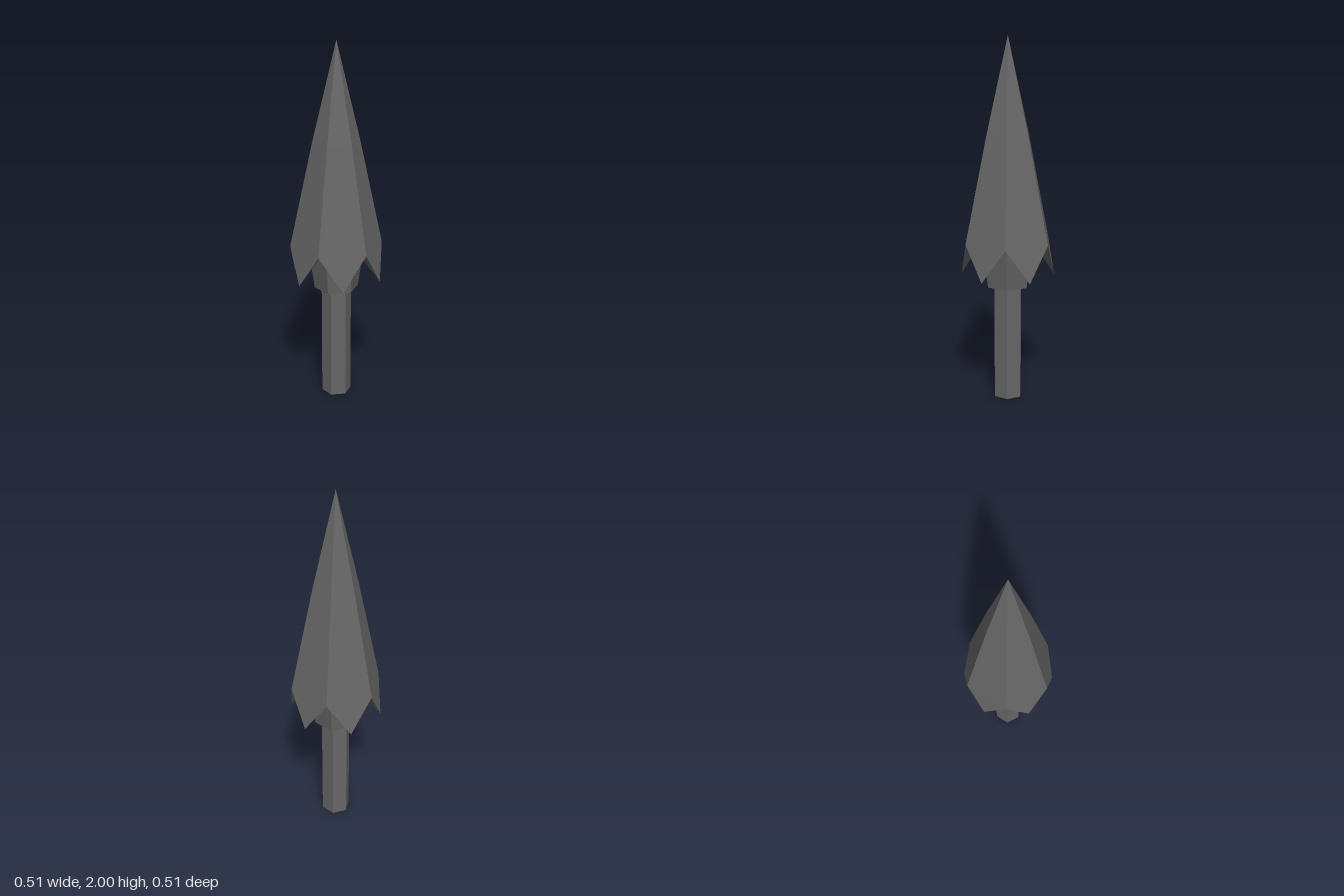
import * as THREE from 'three';

const SIDES = 6;
const material = new THREE.MeshStandardMaterial({ color: 0x666666, flatShading: true });

// Point at radius r and height y; whole steps are corners, half steps are face centres
function point(r, y, step) {
  const a = (step / SIDES) * Math.PI * 2;
  return [r * Math.sin(a), y, r * Math.cos(a)];
}

// Hexagonal prism or frustum between two heights
function hexPart(name, rTop, rBottom, y0, y1) {
  const geometry = new THREE.CylinderGeometry(rTop, rBottom, y1 - y0, SIDES);
  geometry.translate(0, (y0 + y1) / 2, 0);
  const mesh = new THREE.Mesh(geometry, material);
  mesh.name = name;
  return mesh;
}

// Six-sided point whose panels run down into pointed barbs
function createHead() {
  const positions = [];
  const tri = (...corners) => corners.forEach((c) => positions.push(...c));
  const apex = [0, 2, 0];
  for (let i = 0; i < SIDES; i++) {
    const j = i + 1;
    const mid0 = point(0.13, 1.47, i), mid1 = point(0.13, 1.47, j);
    const rim0 = point(0.255, 0.9, i), rim1 = point(0.255, 0.9, j);
    const in0 = point(0.16, 0.91, i), in1 = point(0.16, 0.91, j);
    const barb = point(0.256, 0.712, i + 0.5);
    // Outer panel
    tri(mid0, mid1, apex);
    tri(rim0, rim1, mid1);
    tri(rim0, mid1, mid0);
    tri(barb, rim1, rim0);
    // Underside of the barb, running in to the collar
    tri(in0, in1, barb);
    tri(rim0, in0, barb);
    tri(in1, rim1, barb);
  }
  const geometry = new THREE.BufferGeometry();
  geometry.setAttribute('position', new THREE.Float32BufferAttribute(positions, 3));
  geometry.computeVertexNormals();
  const mesh = new THREE.Mesh(geometry, material);
  mesh.name = 'barbedHead';
  return mesh;
}

export function createModel() {
  const model = new THREE.Group();
  model.name = 'barbedBolt';
  model.add(
    createHead(),
    hexPart('collar', 0.16, 0.122, 0.645, 0.91),
    hexPart('shaft', 0.083, 0.083, 0, 0.66),
  );
  return model;
}
